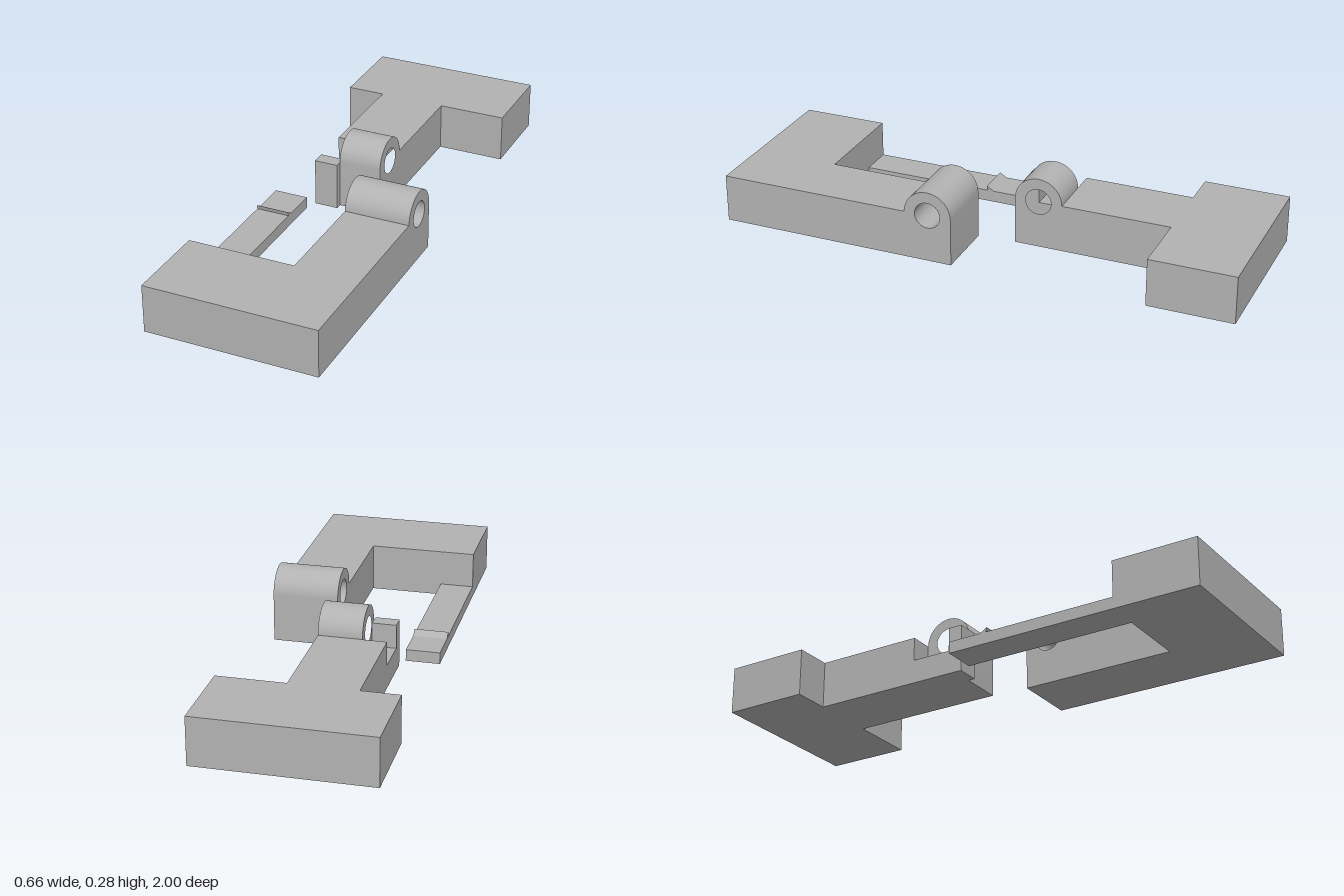
import * as THREE from 'three';
import { toCreasedNormals } from 'three/addons/utils/BufferGeometryUtils.js';

const H = 0.184;        // body thickness, also height of the pin axis
const R = 0.092;        // knuckle radius
const HOLE = 0.05;      // pin hole radius

export function createModel() {
  const model = new THREE.Group();
  const grey = new THREE.MeshStandardMaterial({ color: 0xb2b2b2 });
  grey.name = 'plain grey';

  // Extrude a side profile drawn in (z, y) between two x positions
  function sideExtrude(name, shape, x0, x1, parent) {
    const geo = new THREE.ExtrudeGeometry(shape, { depth: x1 - x0, bevelEnabled: false, curveSegments: 32 });
    geo.rotateY(-Math.PI / 2);
    geo.translate(x1, 0, 0);
    const mesh = new THREE.Mesh(toCreasedNormals(geo, 0.5), grey);
    mesh.name = name;
    parent.add(mesh);
  }

  function polygon(points) {
    return new THREE.Shape(points.map(([z, y]) => new THREE.Vector2(z, y)));
  }

  function box(name, x0, x1, y0, y1, z0, z1, parent) {
    const mesh = new THREE.Mesh(new THREE.BoxGeometry(x1 - x0, y1 - y0, z1 - z0), grey);
    mesh.position.set((x0 + x1) / 2, (y0 + y1) / 2, (z0 + z1) / 2);
    mesh.name = name;
    parent.add(mesh);
  }

  // Arm running from zRoot to a round-topped, drilled knuckle at zPin
  function knuckleArm(zRoot, zPin) {
    const front = zRoot > zPin;
    const shape = new THREE.Shape();
    shape.moveTo(zRoot, 0);
    shape.lineTo(zRoot, H);
    shape.absarc(zPin, H, R, front ? 0 : Math.PI, front ? Math.PI : 0, !front);
    shape.lineTo(zPin + (front ? -R : R), 0);
    shape.closePath();
    const hole = new THREE.Path();
    hole.absarc(zPin, H, HOLE, 0, Math.PI * 2, true);
    shape.holes.push(hole);
    return shape;
  }

  // Front half: base bar, hinge arm and flexible latch strip
  const frontHalf = new THREE.Group();
  frontHalf.name = 'frontHalf';
  box('frontBase', -0.33, 0.33, 0, H, 0.67, 1, frontHalf);
  sideExtrude('frontHingeArm', knuckleArm(0.67, 0.165), 0.08, 0.33, frontHalf);
  box('latchStrip', -0.33, -0.2, 0, 0.045, 0, 0.67, frontHalf);
  sideExtrude('latchBarb', polygon([[0.13, 0.044], [0.16, 0.062], [0.155, 0.044]]), -0.33, -0.2, frontHalf);

  // Back half: T-shaped base, hinge arm and notched stop beside the knuckle
  const backHalf = new THREE.Group();
  backHalf.name = 'backHalf';
  box('backBase', -0.33, 0.33, 0, H, -1, -0.673, backHalf);
  sideExtrude('backHingeArm', knuckleArm(-0.673, -0.163), -0.094, 0.071, backHalf);
  sideExtrude('notchedStop', polygon([
    [-0.673, 0], [-0.673, H], [-0.255, H], [-0.255, H - R],
    [-0.1, H - R], [-0.1, H], [-0.045, H], [-0.045, 0],
  ]), -0.185, -0.094, backHalf);

  model.add(frontHalf, backHalf);
  return model;
}
